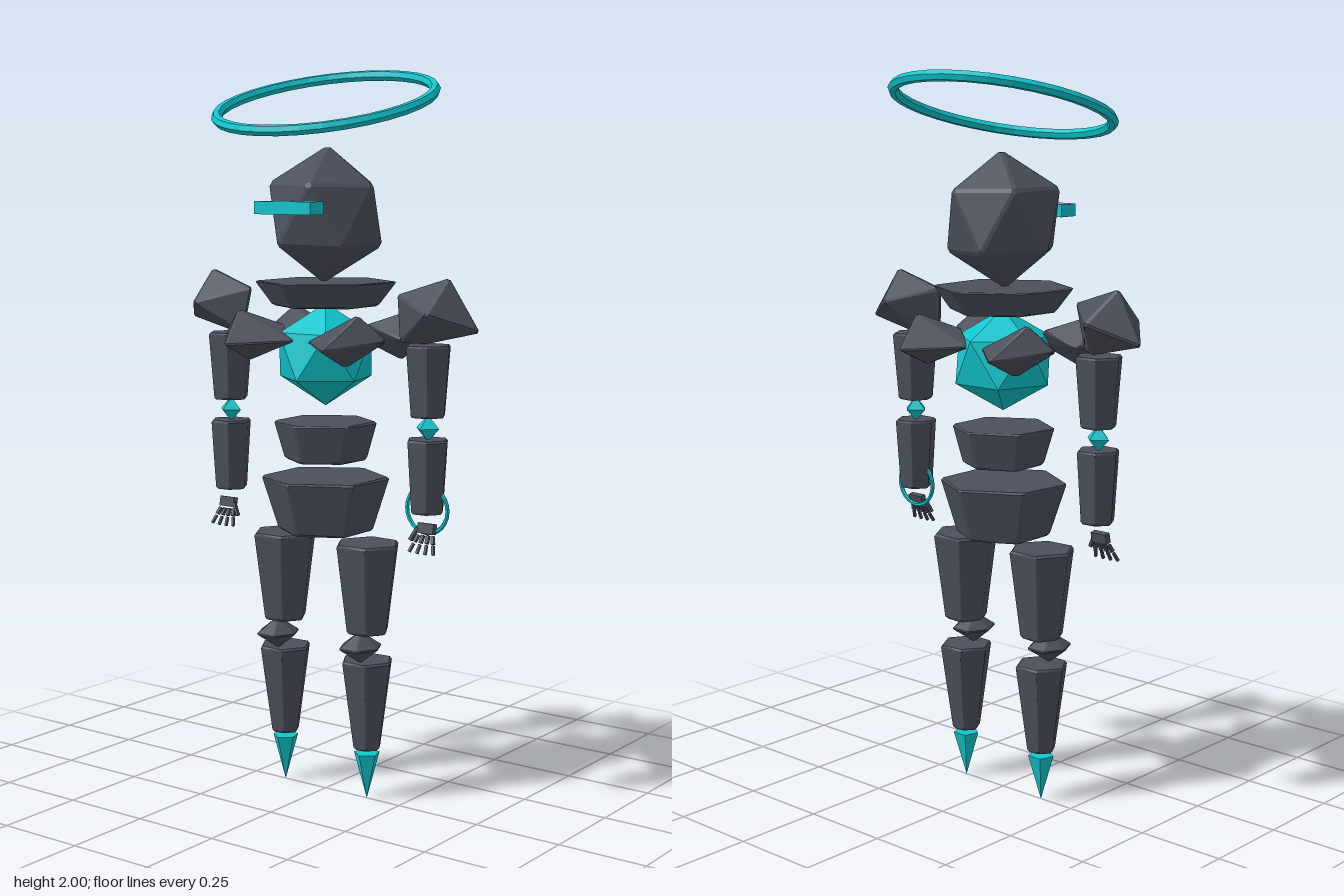
import * as THREE from 'three';
import { ConvexGeometry } from 'three/addons/geometries/ConvexGeometry.js';

const V = (x, y, z) => new THREE.Vector3(x, y, z);
const armor = new THREE.MeshStandardMaterial({ color: 0x4b505b });
armor.name = 'slate armor';
const glow = new THREE.MeshStandardMaterial({ color: 0x10c6ce });
glow.name = 'teal energy';

// Convex solid with chamfered edges: pull every hull triangle inward, then wrap again
function bevelled(points, d) {
  const hull = new ConvexGeometry(points);
  if (!d) return hull;
  const p = hull.getAttribute('position'), out = [];
  for (let i = 0; i < p.count; i += 3) {
    const t = [0, 1, 2].map(k => new THREE.Vector3().fromBufferAttribute(p, i + k));
    const c = V(0, 0, 0).add(t[0]).add(t[1]).add(t[2]).divideScalar(3);
    for (const v of t) out.push(v.clone().add(c.clone().sub(v).setLength(d)));
  }
  return new ConvexGeometry(out);
}

// Horizontal ring of points
const ring = (n, r, y, start, rz = r) => Array.from({ length: n }, (_, i) => {
  const a = start + i / n * Math.PI * 2;
  return V(Math.cos(a) * r, y, Math.sin(a) * rz);
});

// Tapered faceted segment between two heights
const frustum = (n, rTop, yTop, rBot, yBot, start, d) =>
  bevelled([...ring(n, rTop, yTop, start), ...ring(n, rBot, yBot, start)], d);

// Twenty-sided gem standing on a point
const gem = (r, h, start, d) => bevelled([V(0, h, 0), V(0, -h, 0),
  ...ring(5, r, h * 0.447, start), ...ring(5, r, -h * 0.447, start + Math.PI / 5)], d);

// Double pyramid for joints
const joint = (rx, ry, rz, n, d) =>
  bevelled([V(0, ry, 0), V(0, -ry, 0), ...ring(n, rx, 0, 0, rz)], d);

function add(parent, name, geo, mat, x = 0, y = 0, z = 0) {
  const m = new THREE.Mesh(geo, mat);
  m.name = name;
  m.position.set(x, y, z);
  parent.add(m);
  return m;
}

function hand(side) {
  const g = new THREE.Group();
  g.name = 'hand';
  add(g, 'palm', new THREE.BoxGeometry(0.05, 0.028, 0.018), armor, 0, 0, 0);
  for (let i = 0; i < 4; i++) {
    // Two-jointed splayed fingers
    const f = new THREE.Group();
    f.name = 'finger';
    f.position.set((i - 1.5) * 0.015, -0.018, 0.002);
    f.rotation.set(-0.25, 0, (i - 1.5) * 0.2);
    add(f, 'knuckle', new THREE.BoxGeometry(0.009, 0.022, 0.009), armor, 0, -0.012, 0);
    add(f, 'fingertip', new THREE.BoxGeometry(0.007, 0.026, 0.007), armor, 0, -0.04, 0);
    g.add(f);
  }
  const thumb = add(g, 'thumb', new THREE.BoxGeometry(0.009, 0.04, 0.009), armor, -side * 0.035, -0.018, 0.006);
  thumb.rotation.z = -side * 0.5;
  g.position.set(side * 0.34, 0.785, 0.008);
  g.rotation.x = -0.2;
  return g;
}

export function createModel() {
  const model = new THREE.Group();
  model.name = 'floatingGolem';
  const P = Math.PI;

  // Head, visor and tilted halo
  add(model, 'head', gem(0.155, 0.186, 0, 0.012), armor, 0, 1.607, 0).rotation.z = -0.03;
  add(model, 'visor', new THREE.BoxGeometry(0.184, 0.034, 0.06), glow, 0, 1.627, 0.163);
  const haloGeo = new THREE.TorusGeometry(0.295, 0.015, 6, 32).rotateX(P / 2).toNonIndexed();
  haloGeo.computeVertexNormals();
  add(model, 'halo', haloGeo, glow, 0, 1.906, 0).rotation.set(0.275, 0, -0.04);

  // Torso
  add(model, 'collar', frustum(6, 0.197, 1.428, 0.148, 1.36, P / 2, 0.012), armor);
  add(model, 'chestCore', gem(0.132, 0.14, -P / 2, 0), glow, 0, 1.228, 0);
  add(model, 'abdomen', frustum(6, 0.145, 1.045, 0.115, 0.938, P / 2, 0.01), armor);
  add(model, 'pelvis', frustum(6, 0.18, 0.892, 0.132, 0.74, P / 2, 0.01), armor);

  // Four floating chest plates around the core
  for (const sx of [-1, 1]) for (const sz of [-1, 1]) {
    const pts = [[0.268, 1.285, 0.095], [0.16, 1.262, 0.24], [0.2, 1.352, 0.13], [0.16, 1.21, 0.13],
      [0.02, 1.27, 0.11], [0.09, 1.31, 0.06], [0.225, 1.275, 0.04]];
    add(model, sz > 0 ? 'frontChestPlate' : 'backChestPlate',
      bevelled(pts.map(([x, y, z]) => V(x * sx, y, z * sz)), 0.01), armor);
  }

  for (const s of [-1, 1]) {
    // Shoulder wedge
    const shoulder = [[0.397, 1.452, 0], [0.485, 1.31, -0.015], [0.243, 1.402, 0.015], [0.262, 1.275, 0.03],
      [0.315, 1.27, -0.01], [0.39, 1.358, 0.1], [0.365, 1.365, -0.1]];
    add(model, 'shoulder', bevelled(shoulder.map(([x, y, z]) => V(x * s, y, z)), 0.01), armor);

    // Arm
    const ax = s * 0.335;
    add(model, 'upperArm', frustum(6, 0.066, 1.272, 0.05, 1.082, 0, 0.006), armor, ax);
    add(model, 'elbow', joint(0.036, 0.036, 0.036, 4, 0), glow, ax, 1.052, 0);
    add(model, 'forearm', frustum(6, 0.06, 1.023, 0.047, 0.825, 0, 0.006), armor, ax);
    model.add(hand(s));

    // Leg
    const lx = s * 0.142;
    add(model, 'thigh', frustum(6, 0.094, 0.722, 0.061, 0.472, 0, 0.008), armor, lx);
    add(model, 'knee', joint(0.06, 0.046, 0.07, 6, 0.006), armor, lx, 0.437, 0.033);
    add(model, 'shin', frustum(6, 0.076, 0.396, 0.04, 0.143, 0, 0.007), armor, lx);
    add(model, 'footSpike', bevelled([V(0, 0, 0), ...ring(5, 0.037, 0.13, P / 2)], 0), glow, lx);
  }

  // Bracelet floating around the left wrist
  const braceletGeo = new THREE.TorusGeometry(0.064, 0.006, 6, 24).toNonIndexed();
  braceletGeo.computeVertexNormals();
  add(model, 'bracelet', braceletGeo, glow, 0.335, 0.835, 0);

  return model;
}
